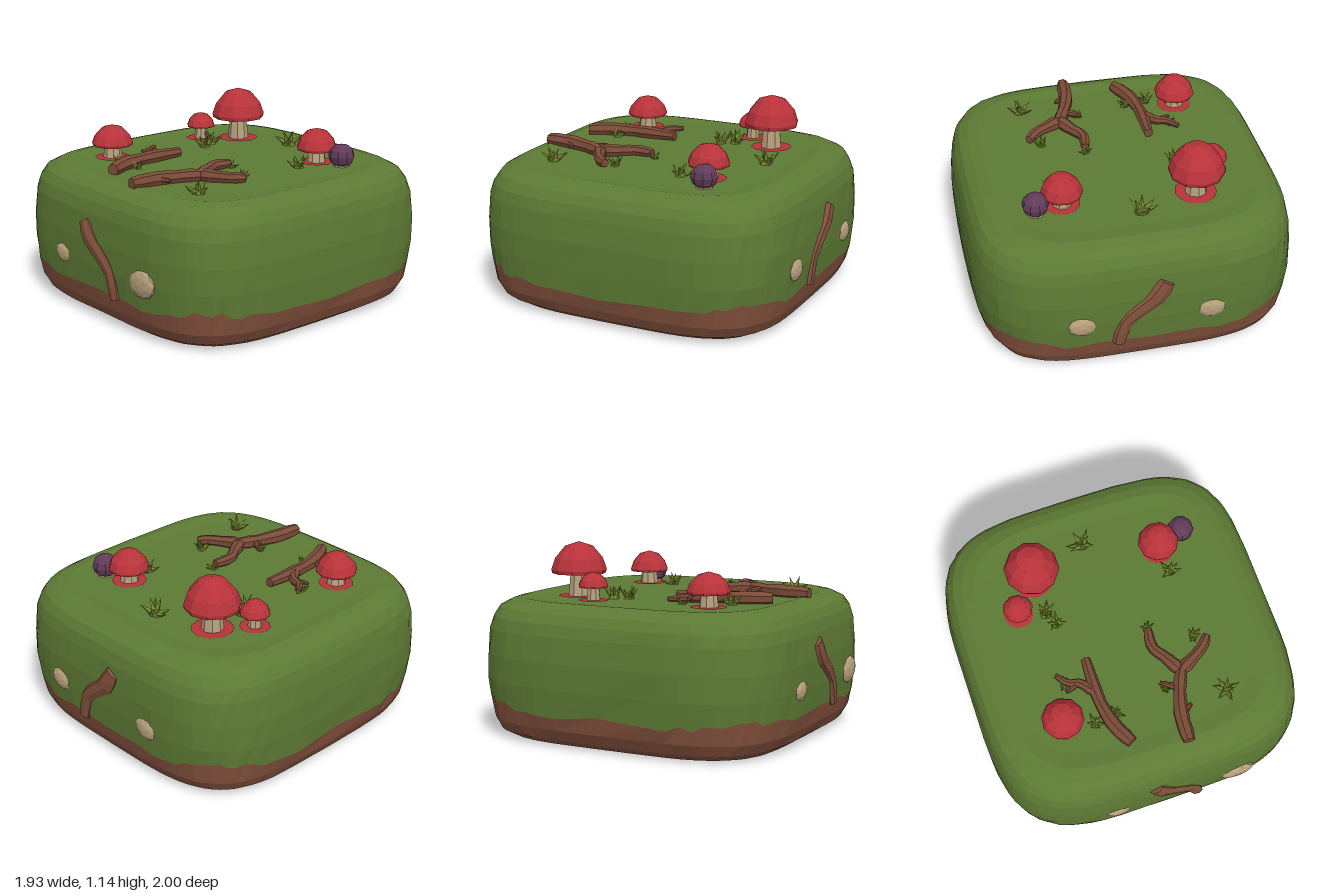
import * as THREE from 'three';

const mat = (name, color, side = THREE.FrontSide) => {
  const m = new THREE.MeshStandardMaterial({ color, side });
  m.name = name;
  return m;
};

// Small seeded random generator, range -1..1
function seeded(seed) {
  let s = seed;
  return () => {
    s = (s * 16807) % 2147483647;
    return (s / 2147483647) * 2 - 1;
  };
}

// Give every face its own normal
function flat(geo) {
  const g = geo.index ? geo.toNonIndexed() : geo;
  g.computeVertexNormals();
  return g;
}

// Skin a list of closed rings (arrays of Vector3, equal length)
function loft(rings) {
  const n = rings[0].length, index = [];
  for (let i = 0; i < rings.length - 1; i++) {
    for (let j = 0; j < n; j++) {
      const a = i * n + j, b = i * n + (j + 1) % n;
      index.push(a, a + n, b, b, a + n, b + n);
    }
  }
  const g = new THREE.BufferGeometry().setFromPoints(rings.flat());
  g.setIndex(index);
  return flat(g);
}

// Tapered, closed limb along a smooth path; `up` is the outward direction
function limb(points, r0, r1, up, squash = 1, sides = 7) {
  const curve = new THREE.CatmullRomCurve3(points.map((p) => new THREE.Vector3(...p)));
  const rnd = seeded(points.length * 31 + Math.round(r0 * 1000));
  const steps = 8, rings = [];
  for (let k = -1; k <= steps + 1; k++) {
    const u = Math.min(1, Math.max(0, k / steps));
    const end = k < 0 || k > steps;
    const c = curve.getPoint(u), t = curve.getTangent(u);
    const side = t.clone().cross(up).normalize();
    const out = side.clone().cross(t).normalize();
    const r = end ? 0 : (r0 + (r1 - r0) * u) * (1 + 0.1 * rnd()) * (k === 0 || k === steps ? 0.85 : 1);
    rings.push(Array.from({ length: sides }, (_, j) => {
      const a = (j / sides) * Math.PI * 2;
      return c.clone().addScaledVector(side, r * Math.cos(a)).addScaledVector(out, r * squash * Math.sin(a));
    }));
  }
  return loft(rings);
}

export function createModel() {
  const model = new THREE.Group();
  model.name = 'mossyBlock';
  const grass = mat('grassGreen', 0x5d7a34, THREE.DoubleSide);
  const dirt = mat('dirtBrown', 0x82503c, THREE.DoubleSide);
  const bark = mat('barkBrown', 0x7a4a37);
  const red = mat('capRed', 0xb9333a);
  const tan = mat('stoneTan', 0xb9a17c);
  const purple = mat('berryPurple', 0x603b58);
  const leaf = mat('leafGreen', 0x76892f);

  const add = (name, geo, material, parent = model) => {
    const m = new THREE.Mesh(geo, material);
    m.name = name;
    parent.add(m);
    return m;
  };

  // Hollow block: rounded-square rings of [scale, height], open underneath
  const rnd = seeded(7);
  const N = 72, SEAM = 4, POW = 2 / 4.2;
  const profile = [[0.82, 0.004], [0.875, 0.008], [0.935, 0.045], [0.968, 0.11], [0.988, 0.2],
    [1, 0.35], [1, 0.5], [0.986, 0.65], [0.966, 0.72], [0.932, 0.775], [0.875, 0.808],
    [0.81, 0.824], [0.72, 0.814], [0.4, 0.812], [0, 0.812]];
  const rings = profile.map(([f, y], i) => Array.from({ length: N }, (_, j) => {
    const a = (j / N) * Math.PI * 2, c = Math.cos(a), s = Math.sin(a);
    const k = f * (1 + (i < 12 ? 0.003 * rnd() : 0));
    let h = y;
    if (i === SEAM) h += 0.045 * Math.sin(2 * a) ** 4 + 0.018 * rnd();
    if (i === 0) h += 0.012 * (1 + rnd());
    return new THREE.Vector3(
      0.963 * k * Math.sign(c) * Math.abs(c) ** POW, h,
      0.972 * k * Math.sign(s) * Math.abs(s) ** POW);
  }));
  add('dirtBase', loft(rings.slice(0, SEAM + 1)), dirt);
  add('grassBlock', loft(rings.slice(SEAM)), grass);

  // Roots and stones set in the front and back walls
  for (const s of [1, -1]) {
    const wall = s > 0 ? 'front' : 'back';
    const path = [[-0.09, 0.6], [-0.03, 0.5], [0.07, 0.42], [0.15, 0.34], [0.19, 0.19]];
    add(wall + 'Root', limb(path.map(([x, y]) => [x, y, 0.962 * s]), 0.062, 0.045,
      new THREE.Vector3(0, 0, s), 0.58), dirt);
    const stones = s > 0 ? [[-0.32, 0.078, 0.062], [0.44, 0.112, 0.084]]
      : [[-0.36, 0.085, 0.07], [0.4, 0.085, 0.07]];
    for (const [x, rx, ry] of stones) {
      const stone = add(wall + 'Stone', flat(new THREE.IcosahedronGeometry(1, 1)), tan);
      stone.position.set(x, 0.352, 0.955 * s);
      stone.scale.set(rx, ry, 0.033);
      stone.rotation.z = 0.12;
    }
  }

  // Mushrooms: [x, z, cap radius, cap base, cap top, stem radius]
  const capProfile = [[0, 0.22], [0.75, 0.1], [0.97, 0], [1, 0.12], [0.86, 0.48], [0.5, 0.86], [0, 1]]
    .map(([x, y]) => new THREE.Vector2(x, y));
  const mushrooms = [
    [-0.385, -0.46, 0.167, 0.955, 1.145, 0.062],
    [-0.535, -0.27, 0.09, 0.895, 0.985, 0.04],
    [-0.495, 0.465, 0.126, 0.895, 1.02, 0.055],
    [0.4, -0.41, 0.124, 0.895, 1.025, 0.055]];
  mushrooms.forEach(([x, z, r, base, top, sr], i) => {
    const g = new THREE.Group();
    g.name = 'mushroom';
    g.position.set(x, 0, z);
    g.rotation.y = i * 0.9;
    model.add(g);
    const cap = add('cap', flat(new THREE.LatheGeometry(capProfile, 10)), red, g);
    cap.scale.set(r, top - base, r);
    cap.position.y = base;
    const h = base + 0.03 - 0.8;
    const stem = add('stem', flat(new THREE.CylinderGeometry(sr * 0.8, sr * 1.1, h, 8)), tan, g);
    stem.position.y = 0.8 + h / 2;
    const patch = add('redGround', new THREE.CircleGeometry(r * 0.45 + 0.05, 11), red, g);
    patch.rotation.x = -Math.PI / 2;
    patch.position.y = 0.819;
  });

  // Round purple mushroom
  const ball = add('purpleCap', flat(new THREE.SphereGeometry(1, 9, 6)), purple);
  ball.position.set(0.563, 0.877, -0.46);
  ball.scale.set(0.08, 0.073, 0.08);
  add('purpleStem', flat(new THREE.CylinderGeometry(0.045, 0.055, 0.05, 8)), tan).position.set(0.563, 0.822, -0.46);

  // Fallen branches: [start radius, end radius, path of x, z]
  const up = new THREE.Vector3(0, 1, 0);
  const Y = 0.842;
  const branches = [
    [0.046, 0.036, [[0.16, 0.81], [0.17, 0.65], [0.22, 0.48], [0.28, 0.36]]],
    [0.042, 0.028, [[0.26, 0.39], [0.2, 0.28], [0.15, 0.2], [0.16, 0.08]]],
    [0.042, 0.028, [[0.26, 0.39], [0.36, 0.335], [0.43, 0.29], [0.48, 0.23]]],
    [0.024, 0.012, [[0.21, 0.48], [0.16, 0.45], [0.12, 0.42]]],
    [0.022, 0.012, [[0.18, 0.65], [0.22, 0.62], [0.25, 0.6]]],
    [0.046, 0.034, [[-0.155, 0.71], [-0.22, 0.58], [-0.255, 0.4], [-0.25, 0.14]]],
    [0.034, 0.018, [[-0.255, 0.36], [-0.33, 0.27], [-0.39, 0.25], [-0.45, 0.18]]],
    [0.018, 0.01, [[-0.35, 0.27], [-0.39, 0.29], [-0.42, 0.3]]]];
  for (const [r0, r1, path] of branches) {
    add('branch', limb(path.map(([x, z]) => [x, Y, z]), r0, r1, up), bark);
  }

  // Leaf tufts: [x, z, size]
  const tufts = [[-0.03, -0.58, 1], [-0.38, -0.22, 0.85], [-0.34, -0.14, 0.8], [0.42, -0.24, 0.8],
    [0.41, 0.2, 0.65], [0.48, 0.58, 0.9], [-0.32, 0.53, 0.7], [-0.18, 0.51, 0.6],
    [0.16, 0.07, 0.55], [0.14, 0.46, 0.5], [-0.42, 0.25, 0.5]];
  const tilt = seeded(23);
  for (const [x, z, size] of tufts) {
    const tuft = new THREE.Group();
    tuft.name = 'leafTuft';
    tuft.position.set(x, 0.81, z);
    tuft.scale.setScalar(size);
    model.add(tuft);
    const mound = add('mound', flat(new THREE.IcosahedronGeometry(1, 0)), leaf, tuft);
    mound.scale.set(0.045, 0.045, 0.045);
    const blade = flat(new THREE.ConeGeometry(0.026, 0.11, 4).translate(0, 0.055, 0));
    for (let k = 0; k < 7; k++) {
      const b = add('blade', blade, leaf, tuft);
      b.rotation.order = 'YXZ';
      b.rotation.y = (k / 7) * Math.PI * 2 + 0.3 * tilt();
      b.rotation.x = 0.8 + 0.45 * tilt();
    }
  }
  return model;
}
